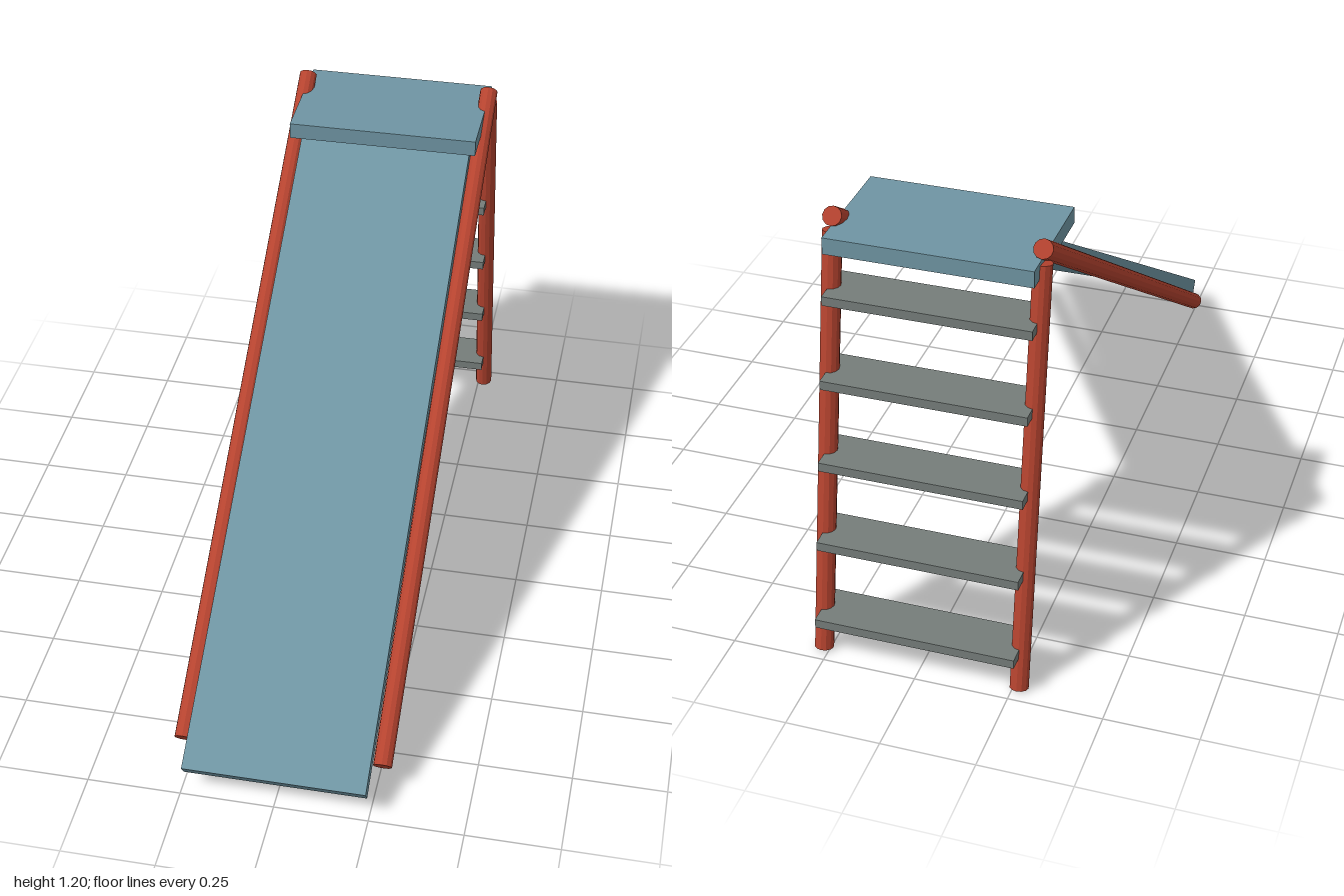
import * as THREE from 'three';

const material = (color) => new THREE.MeshStandardMaterial({ color, flatShading: true });
const RED = material(0xb5432f);
const BLUE = material(0x6f95a3);
const GREY = material(0x757d7a);

const RAIL_X = 0.266;
const POLE_RADIUS = 0.025;

// Round pole between two points
function pole(name, from, to) {
  const dir = to.clone().sub(from);
  const mesh = new THREE.Mesh(
    new THREE.CylinderGeometry(POLE_RADIUS, POLE_RADIUS, dir.length(), 12), RED);
  mesh.name = name;
  mesh.position.copy(from).add(to).multiplyScalar(0.5);
  mesh.quaternion.setFromUnitVectors(new THREE.Vector3(0, 1, 0), dir.normalize());
  return mesh;
}

function board(name, w, h, d, y, z, mat) {
  const mesh = new THREE.Mesh(new THREE.BoxGeometry(w, h, d), mat);
  mesh.name = name;
  mesh.position.set(0, y, z);
  return mesh;
}

export function createModel() {
  const model = new THREE.Group();
  model.name = 'playgroundSlide';

  // Sloping rails and ladder legs, mirrored left and right
  for (const [side, s] of [['left', 1], ['right', -1]]) {
    const x = s * RAIL_X;
    model.add(pole(`${side}SlideRail`,
      new THREE.Vector3(x, 0.086, 0.886), new THREE.Vector3(x, 1.179, -0.755)));
    model.add(pole(`${side}LadderLeg`,
      new THREE.Vector3(x, 0.004, -0.952), new THREE.Vector3(x, 1.143, -0.757)));
  }

  // Sliding surface, from the low front end up into the platform
  const low = new THREE.Vector2(0.99, 0.077);
  const high = new THREE.Vector2(-0.63, 1.115);
  const mid = low.clone().add(high).multiplyScalar(0.5);
  const slide = board('slideSurface', 0.486, 0.04, low.distanceTo(high), mid.y, mid.x, BLUE);
  slide.rotation.x = Math.atan2(high.y - low.y, low.x - high.x);
  model.add(slide);

  // Top platform
  model.add(board('platform', 0.532, 0.045, 0.327, 1.134, -0.662, BLUE));

  // Ladder steps
  const ladder = new THREE.Group();
  ladder.name = 'ladderSteps';
  for (let i = 0; i < 5; i++) {
    ladder.add(board(`step${i + 1}`, 0.534, 0.025, 0.132, 0.115 + i * 0.219, -0.934 + i * 0.0388, GREY));
  }
  model.add(ladder);

  return model;
}
